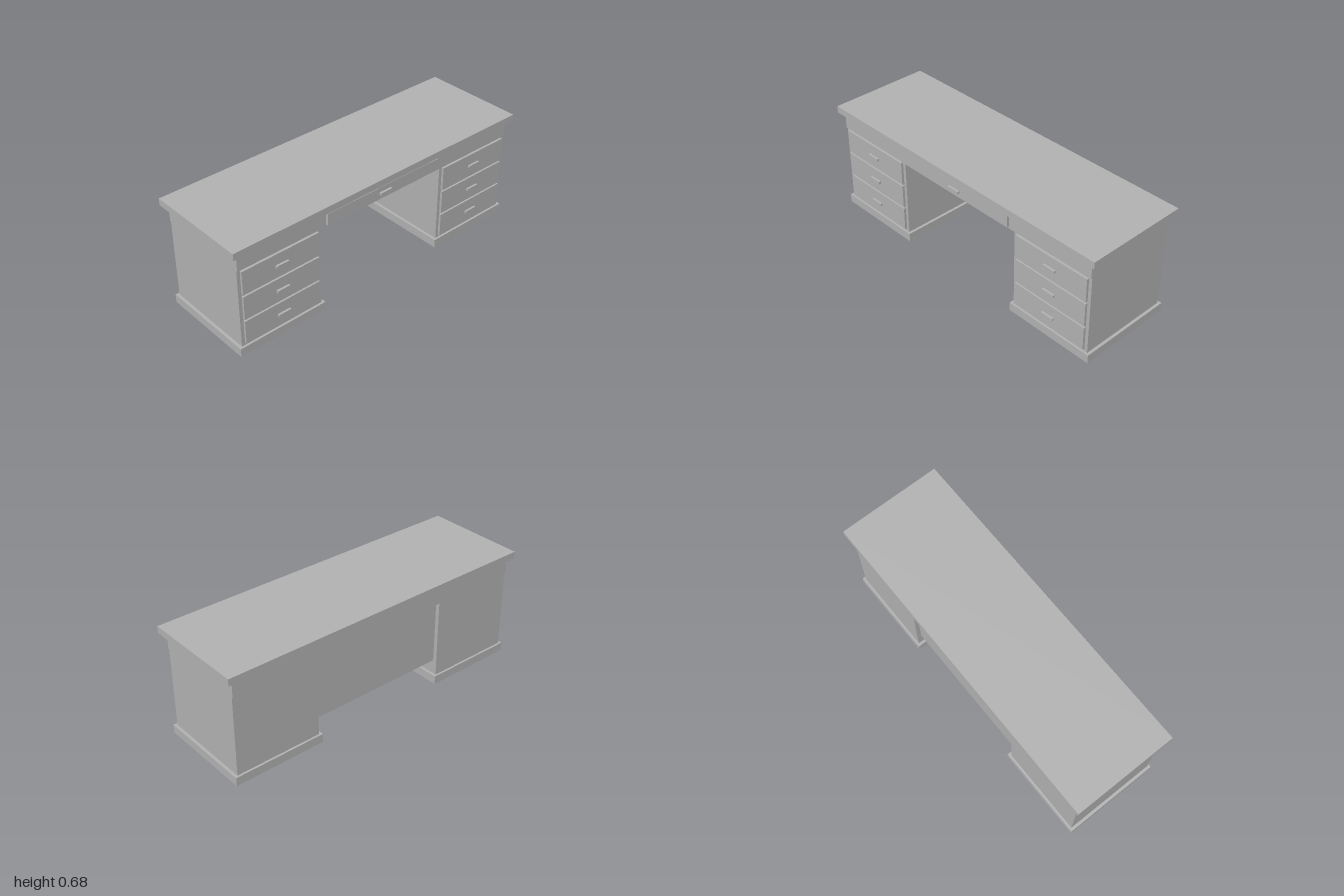
import * as THREE from 'three';

export function createModel() {
  const desk = new THREE.Group();
  desk.name = 'desk';
  const grey = new THREE.MeshStandardMaterial({ color: 0xb2b2b2, side: THREE.DoubleSide });
  grey.name = 'grey';

  // Box given by its minimum and maximum on each axis
  function box(name, [x0, x1], [y0, y1], [z0, z1], parent = desk) {
    const mesh = new THREE.Mesh(new THREE.BoxGeometry(x1 - x0, y1 - y0, z1 - z0), grey);
    mesh.position.set((x0 + x1) / 2, (y0 + y1) / 2, (z0 + z1) / 2);
    mesh.name = name;
    parent.add(mesh);
    return mesh;
  }

  // Drawer front with a small bar handle in the middle
  function drawer(name, x, halfWidth, [y0, y1], z, parent) {
    const group = new THREE.Group();
    group.name = name;
    const y = (y0 + y1) / 2;
    box('drawerFront', [x - halfWidth, x + halfWidth], [y0, y1], [z, z + 0.014], group);
    box('handle', [x - 0.04, x + 0.04], [y - 0.0075, y + 0.0075], [z + 0.014, z + 0.027], group);
    parent.add(group);
  }

  // Top, apron and central drawer
  box('desktop', [-1, 1], [0.634, 0.675], [-0.314, 0.314]);
  box('apron', [-0.965, 0.965], [0.535, 0.634], [-0.287, 0.287]);
  drawer('centreDrawer', 0, 0.4, [0.548, 0.62], 0.287, desk);

  // Panel closing the back of the knee space
  box('modestyPanel', [-0.435, 0.435], [0.14, 0.535], [-0.255, -0.235]);

  // Two pedestals, each with three drawers and an open-bottomed plinth
  for (const side of [-1, 1]) {
    const pedestal = new THREE.Group();
    pedestal.name = side > 0 ? 'leftPedestal' : 'rightPedestal';
    const x = side * 0.7;
    box('cabinet', [x - 0.265, x + 0.265], [0.052, 0.535], [-0.28, 0.28], pedestal);

    const plinth = box('plinth', [x - 0.282, x + 0.282], [0, 0.052], [-0.293, 0.293], pedestal);
    // Leave out the bottom face (fourth of the six sides)
    const index = Array.from(plinth.geometry.index.array);
    index.splice(18, 6);
    plinth.geometry.setIndex(index);
    plinth.geometry.clearGroups();

    for (let i = 0; i < 3; i++) {
      const y = 0.068 + i * 0.157;
      drawer('drawer', x, 0.245, [y, y + 0.146], 0.28, pedestal);
    }
    desk.add(pedestal);
  }
  return desk;
}
